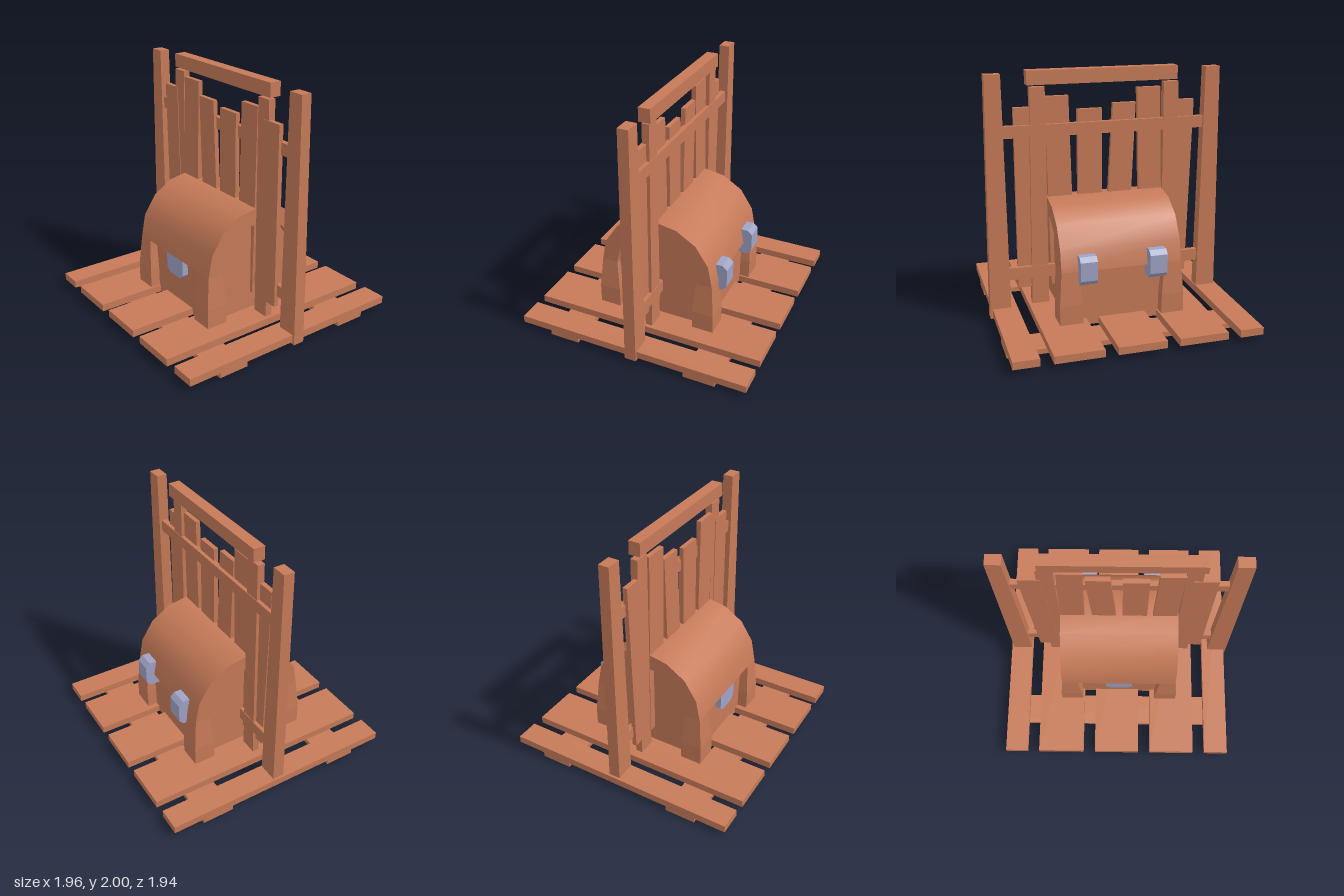
import * as THREE from 'three';
import { toCreasedNormals } from 'three/addons/utils/BufferGeometryUtils.js';

const wood = new THREE.MeshStandardMaterial({ color: 0xc67a58 });
wood.name = 'wood';
const metal = new THREE.MeshStandardMaterial({ color: 0x9fa3c6 });
metal.name = 'metal';

// Flat-sided solid through rectangles [y, x0, x1, z0, z1], listed bottom to top
function loft(sections) {
  const pos = [], idx = [];
  for (const [y, x0, x1, z0, z1] of sections) {
    pos.push(x0, y, z1, x1, y, z1, x1, y, z0, x0, y, z0);
  }
  const quad = (a, b, c, d) => idx.push(a, b, c, a, c, d);
  for (let s = 0; s < sections.length - 1; s++) {
    for (let i = 0; i < 4; i++) {
      const j = (i + 1) % 4, o = s * 4;
      quad(o + i, o + j, o + 4 + j, o + 4 + i);
    }
  }
  const t = (sections.length - 1) * 4;
  quad(0, 3, 2, 1);
  quad(t, t + 1, t + 2, t + 3);
  let geo = new THREE.BufferGeometry();
  geo.setAttribute('position', new THREE.Float32BufferAttribute(pos, 3));
  geo.setIndex(idx);
  geo = geo.toNonIndexed();
  geo.computeVertexNormals();
  return geo;
}

const box = (x0, x1, y0, y1, z0, z1) => loft([[y0, x0, x1, z0, z1], [y1, x0, x1, z0, z1]]);

// Extrudes an outline of [z, y] points from x0 to x1
function extrudeX(points, x0, x1) {
  const shape = new THREE.Shape(points.map(([z, y]) => new THREE.Vector2(-z, y)));
  const geo = new THREE.ExtrudeGeometry(shape, { depth: x1 - x0, bevelEnabled: false });
  return geo.rotateY(Math.PI / 2).translate(x0, 0, 0);
}

export function createModel() {
  const model = new THREE.Group();
  model.name = 'chestOnPallet';
  const add = (parent, name, geo, mat = wood) => {
    const mesh = new THREE.Mesh(geo, mat);
    mesh.name = name;
    parent.add(mesh);
  };
  const group = (name) => {
    const g = new THREE.Group();
    g.name = name;
    model.add(g);
    return g;
  };

  // Pallet: five boards on two cross beams
  const pallet = group('pallet');
  for (const [x0, x1] of [[-0.98, -0.79], [-0.69, -0.3], [-0.2, 0.18], [0.28, 0.66], [0.76, 0.96]]) {
    add(pallet, 'floorBoard', box(x0, x1, 0.04, 0.1, -0.97, 0.97));
  }
  add(pallet, 'frontCrossBeam', box(-0.98, 0.96, 0, 0.04, 0.46, 0.71));
  add(pallet, 'backCrossBeam', box(-0.98, 0.96, 0, 0.04, -0.72, -0.46));

  // Fence: tapered posts, rails, door uprights, lintel and crooked planks
  const fence = group('fence');
  add(fence, 'rightPost', loft([[0.05, -0.96, -0.795, -0.07, 0.025], [1.98, -0.94, -0.82, -0.065, 0.02]]));
  add(fence, 'leftPost', loft([[0.02, 0.81, 0.98, -0.07, 0.025], [1.98, 0.83, 0.955, -0.065, 0.02]]));
  add(fence, 'upperRail', box(-0.83, 0.84, 1.485, 1.58, -0.045, 0));
  add(fence, 'lowerRail', box(-0.82, 0.83, 0.325, 0.425, -0.045, 0));
  add(fence, 'rightUpright', loft([[0.06, -0.62, -0.48, -0.04, 0.018], [1.87, -0.6, -0.475, -0.04, 0.018]]));
  add(fence, 'leftUpright', loft([[0.06, 0.49, 0.63, -0.04, 0.018], [1.87, 0.49, 0.61, -0.04, 0.018]]));
  add(fence, 'lintel', box(-0.58, 0.635, 1.89, 2, -0.065, 0.03));
  // bottom y, bottom x0, x1, top y, top x0, x1
  const planks = [
    [0.24, -0.705, -0.53, 1.717, -0.745, -0.57],
    [0.24, -0.495, -0.3, 1.83, -0.455, -0.26],
    [0.24, -0.185, 0.015, 1.715, -0.25, -0.06],
    [0.24, 0.03, 0.23, 1.68, 0.03, 0.23],
    [0.24, 0.26, 0.46, 1.792, 0.3, 0.49],
    [0.24, 0.55, 0.735, 1.715, 0.55, 0.735],
  ];
  for (const [yb, b0, b1, yt, t0, t1] of planks) {
    add(fence, 'plank', loft([[yb, b0, b1, -0.015, 0.023], [yt, t0, t1, -0.015, 0.023]]));
  }

  // Chest: recessed body, corner legs and thick arched lid
  const chest = group('chest');
  const cx = 0.005, cz = -0.01;
  const mirror = (half) => [
    ...half.map(([z, y]) => [cz + z, y]),
    ...half.slice(0, -1).reverse().map(([z, y]) => [cz - z, y]),
  ];
  const outer = mirror([[0.48, 0.52], [0.445, 0.7], [0.34, 0.86], [0.18, 0.96], [0, 0.992]]);
  const inner = mirror([[0.35, 0.52], [0.32, 0.66], [0.24, 0.77], [0.125, 0.84], [0, 0.86]]);
  add(chest, 'lid', toCreasedNormals(extrudeX([...outer, ...inner.slice().reverse()], cx - 0.482, cx + 0.482), 0.7));
  add(chest, 'lidEndPanels', extrudeX(inner, cx - 0.43, cx + 0.43));
  add(chest, 'body', box(cx - 0.43, cx + 0.43, 0.045, 0.53, cz - 0.42, cz + 0.42));
  for (const sx of [-1, 1]) {
    for (const sz of [-1, 1]) {
      const section = (y, xi, xo, zi, zo) => {
        const xs = [cx + sx * xi, cx + sx * xo].sort((a, b) => a - b);
        const zs = [cz + sz * zi, cz + sz * zo].sort((a, b) => a - b);
        return [y, ...xs, ...zs];
      };
      add(chest, 'cornerLeg', loft([
        section(0.06, 0.318, 0.503, 0.325, 0.503),
        section(0.26, 0.322, 0.503, 0.325, 0.503),
        section(0.52, 0.348, 0.482, 0.35, 0.48),
      ]));
    }
  }

  // Front latch with clipped lower corners
  const latch = new THREE.Shape([
    [-0.105, 0.52], [-0.105, 0.38], [-0.065, 0.345], [0.08, 0.345], [0.118, 0.38], [0.118, 0.52],
  ].map(([x, y]) => new THREE.Vector2(x, y)));
  const latchGeo = new THREE.ExtrudeGeometry(latch, { depth: 0.06, bevelEnabled: false });
  add(chest, 'latch', latchGeo.translate(0, 0, 0.4), metal);

  // Two chamfered hinges at the back
  const hinge = [[-0.42, 0.65], [-0.525, 0.65], [-0.562, 0.615], [-0.562, 0.465], [-0.525, 0.425], [-0.42, 0.425]];
  for (const [x0, x1] of [[-0.34, -0.2], [0.22, 0.355]]) {
    add(chest, 'hinge', extrudeX(hinge, x0, x1), metal);
  }

  return model;
}
